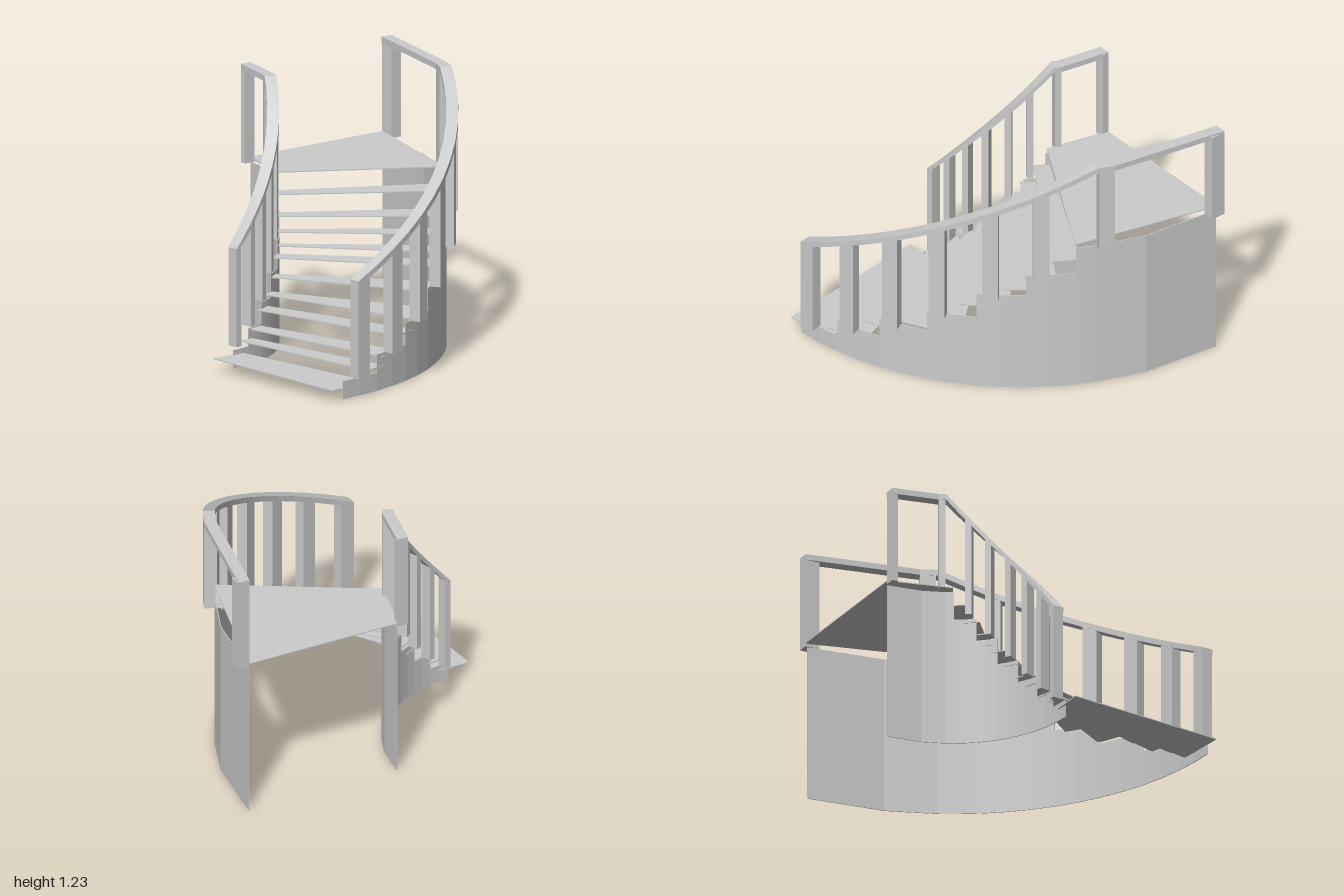
import * as THREE from 'three';

const CX = -0.9;                     // centre of the curve, on z = 0
const R_IN = 0.61, R_OUT = 1.37;     // wall radii
const RAIL_W = 0.055, WALL_T = 0.004;
const material = new THREE.MeshStandardMaterial({ color: 0xcccccc, side: THREE.DoubleSide, flatShading: true });

// point at a radius, an angle in degrees (positive = front) and a height
function polar(r, deg, y) {
  const a = THREE.MathUtils.degToRad(deg);
  return new THREE.Vector3(CX + r * Math.cos(a), y, r * Math.sin(a));
}

// closed solid through four-cornered sections running from front to back
function loft(name, sections) {
  const pos = [];
  const quad = (a, b, c, d) => [a, b, c, a, c, d].forEach(p => pos.push(p.x, p.y, p.z));
  const first = sections[0], last = sections[sections.length - 1];
  quad(...first);
  for (let i = 0; i < sections.length - 1; i++) {
    const A = sections[i], B = sections[i + 1];
    for (let k = 0; k < 4; k++) {
      const n = (k + 1) % 4;
      quad(A[k], B[k], B[n], A[n]);
    }
  }
  quad(last[3], last[2], last[1], last[0]);
  const geometry = new THREE.BufferGeometry();
  geometry.setAttribute('position', new THREE.Float32BufferAttribute(pos, 3));
  geometry.computeVertexNormals();
  const mesh = new THREE.Mesh(geometry, material);
  mesh.name = name;
  return mesh;
}

// curved bar between two radii, with bottom and top given as functions of angle
function arcBar(name, r0, r1, angles, bottom, top) {
  return loft(name, angles.map(a => [
    polar(r0, a, bottom(a)), polar(r1, a, bottom(a)),
    polar(r1, a, top(a)), polar(r0, a, top(a)),
  ]));
}

// thin tread between a front and a back edge, each given as [inner angle, outer angle]
function tread(name, front, back, yIn, yOut) {
  const t = 0.005;
  return loft(name, [front, back].map(([ai, ao]) => [
    polar(R_IN - 0.005, ai, yIn - t), polar(R_OUT + 0.005, ao, yOut - t),
    polar(R_OUT + 0.005, ao, yOut), polar(R_IN - 0.005, ai, yIn),
  ]));
}

function range(from, to, n) {
  return Array.from({ length: n + 1 }, (_, i) => from + (to - from) * i / n);
}

// handrail top: rises along the flight, then level over the landing
const RAIL_START = 41.3, RAIL_LEVEL = -17.5;
function railTop(a) {
  const t = Math.min(1, Math.max(0, (RAIL_START - a) / (RAIL_START - RAIL_LEVEL)));
  return 0.56 + 0.67 * t;
}

const stepAngles = [43.2, 34, 24.5, 14.7, 5, -4.4, -14];
const stepHeights = [0.09, 0.175, 0.275, 0.385, 0.515, 0.625];
const LANDING_WALL = 0.763;
const postAngles = [39.8, 30.5, 21.4, 12.2, 2.2, -7.2, -19.5, -42.5];
const postBases = [0.1, 0.178, 0.278, 0.388, 0.517, 0.627, 0.765, 0.768];

// one side of the stair: stepped wall, posts and handrail
function side(name, wallR, railR0) {
  const g = new THREE.Group();
  g.name = name;
  const railR1 = railR0 + RAIL_W;
  const w0 = wallR - WALL_T / 2, w1 = wallR + WALL_T / 2;
  stepHeights.forEach((h, i) => {
    g.add(arcBar('wallStep' + (i + 1), w0, w1, range(stepAngles[i], stepAngles[i + 1], 2), () => 0.005, () => h));
  });
  g.add(arcBar('landingWall', w0, w1, [-14, -17.7, -28, -43.7], () => 0.005, () => LANDING_WALL));
  postAngles.forEach((a, i) => {
    g.add(arcBar('post' + (i + 1), railR0 + 0.001, railR1 - 0.001, [a + 1.5, a - 1.5],
      () => postBases[i], b => railTop(b) - 0.01));
  });
  // straight along the landing from the last bend to the end
  const angles = [...range(RAIL_START, RAIL_LEVEL, 12), -21, -44];
  g.add(arcBar('handrail', railR0, railR1, angles, a => railTop(a) - 0.028, railTop));
  return g;
}

export function createModel() {
  const model = new THREE.Group();
  model.name = 'curvedStaircase';

  model.add(side('outerSide', R_OUT, R_OUT));
  model.add(side('innerSide', R_IN, R_IN - RAIL_W));

  // front edges of the treads as [inner angle, outer angle, height]
  const edges = [
    [53.2, 46, 0.062], [38.5, 36.8, 0.12], [32.8, 32.7, 0.165], [26.5, 27.8, 0.24],
    [19.5, 23, 0.295], [14.5, 15, 0.372], [9.4, 8.2, 0.45], [3.2, 3.8, 0.49],
    [0.5, -0.4, 0.548], [-3, -4.2, 0.612], [-8.5, -9.2, 0.70], [-14.5, -13.9, 0.787],
  ];
  const treads = new THREE.Group();
  treads.name = 'treads';
  for (let i = 0; i < edges.length - 1; i++) {
    const [ai, ao, y] = edges[i], [bi, bo] = edges[i + 1];
    const tilt = i < 5 ? 0.005 : -0.002;
    treads.add(tread('tread' + (i + 1), [ai, ao], [bi - 1, bo - 1], y + tilt, y - tilt));
  }
  model.add(treads);

  // landing with straight edges
  const [li, lo, ly] = edges[edges.length - 1];
  model.add(tread('landing', [li, lo], [-44, -44], ly, ly));
  return model;
}
